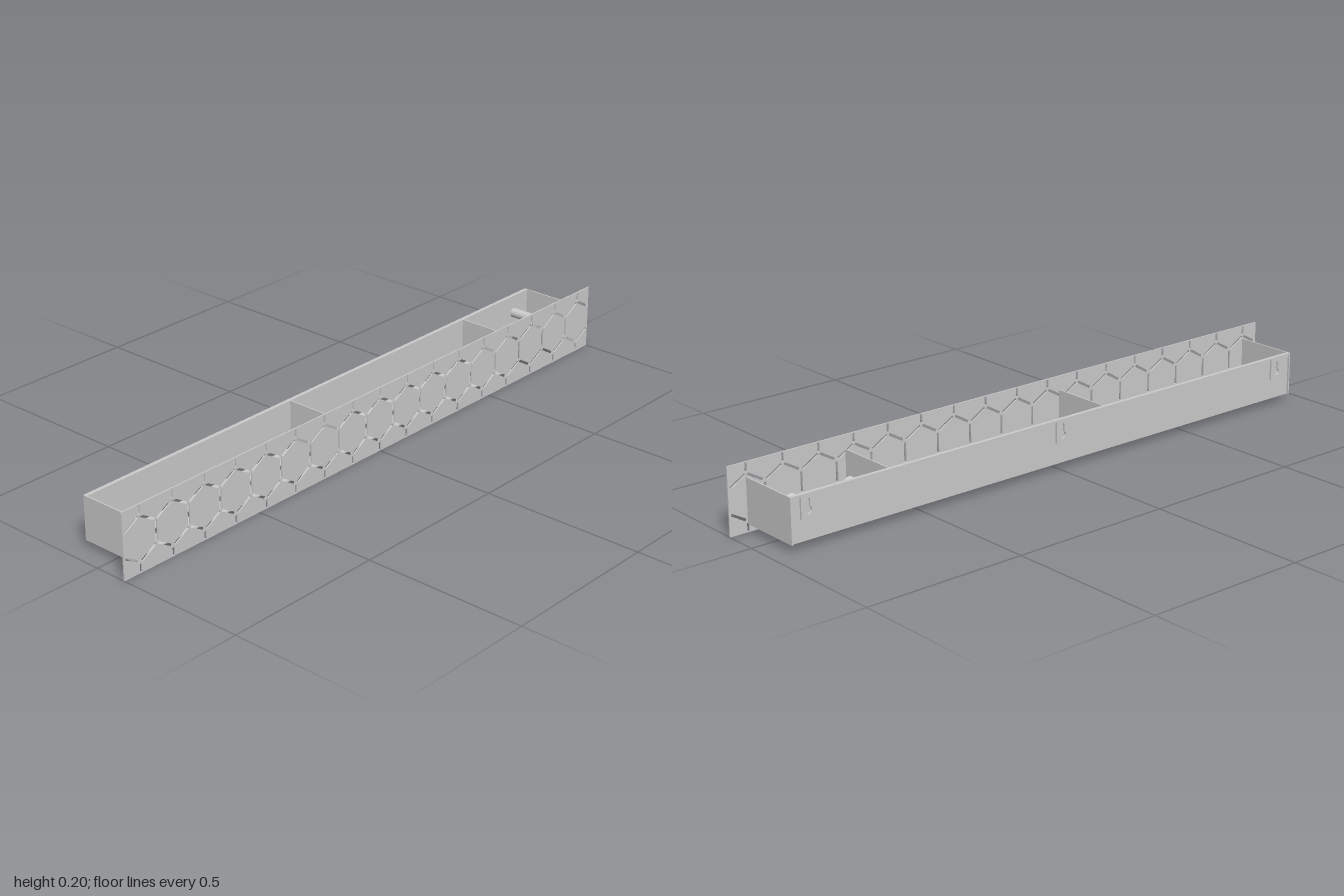
import * as THREE from 'three';

export function createModel() {
  const group = new THREE.Group();
  const mat = new THREE.MeshStandardMaterial({ color: 0xcccccc, flatShading: true });
  const smooth = new THREE.MeshStandardMaterial({ color: 0xcccccc });

  const add = (name, geometry, material = mat) => {
    const mesh = new THREE.Mesh(geometry, material);
    mesh.name = name;
    group.add(mesh);
    return mesh;
  };
  // box given by its limits on each axis
  const box = (name, x0, x1, y0, y1, z0, z1) => {
    const mesh = add(name, new THREE.BoxGeometry(x1 - x0, y1 - y0, z1 - z0));
    mesh.position.set((x0 + x1) / 2, (y0 + y1) / 2, (z0 + z1) / 2);
    return mesh;
  };

  const L = -0.945, R = 0.942, bottom = 0.023, top = 0.157;
  const back = -0.103, inner = -0.091, front = 0.099;

  // front panel, pierced by narrow slots along the edges of a honeycomb
  const panel = new THREE.Shape([[-1, 0], [1, 0], [1, 0.2], [-1, 0.2]].map(p => new THREE.Vector2(...p)));
  const slot = (x0, y0, x1, y1, trim0 = 0.005, trim1 = 0.005) => {
    const a = new THREE.Vector2(x0, y0), b = new THREE.Vector2(x1, y1);
    const d = b.clone().sub(a).normalize();
    const n = new THREE.Vector2(-d.y, d.x).multiplyScalar(0.0038);
    a.addScaledVector(d, trim0);
    b.addScaledVector(d, -trim1);
    panel.holes.push(new THREE.Path([a.clone().add(n), b.clone().add(n), b.clone().sub(n), a.clone().sub(n)]));
  };
  const count = 17, pitch = 2 / count, radius = pitch / Math.sqrt(3), mid = 0.1;
  for (let i = 0; i < count; i++) {
    const x = -1 + (i + 0.5) * pitch;
    if (i > 0) slot(x - pitch / 2, mid - radius / 2, x - pitch / 2, mid + radius / 2);
    for (const s of [-1, 1]) {
      for (const side of [-1, 1]) {
        const atEnd = (i === 0 && side < 0) || (i === count - 1 && side > 0);
        slot(x, mid + s * radius, x + side * pitch / 2, mid + s * radius / 2, 0.005, atEnd ? 0.008 : 0.005);
      }
      slot(x, mid + s * radius, x, mid + s * 0.1, 0.005, 0.002);
    }
  }
  add('frontPanel', new THREE.ExtrudeGeometry(panel, { depth: 0.004, bevelEnabled: false })).position.z = front;

  // tray walls; the back is recessed below a rear lip
  box('backWall', L, R, bottom, top, -0.097, inner);
  box('backLip', L, R, top - 0.006, top, back, -0.097);
  box('rightEnd', L, L + 0.004, bottom, top, back, front);
  box('leftEnd', R - 0.004, R, bottom, top, back, front);
  for (const x of [-0.165, 0.615]) box('divider', x - 0.002, x + 0.002, bottom, top, inner, front);

  // two floor slats, leaving the key compartment open below
  box('rearSlat', L + 0.004, 0.613, bottom, bottom + 0.005, -0.065, -0.011);
  box('frontSlat', L + 0.004, 0.613, bottom, bottom + 0.005, 0.014, 0.07);

  // key pegs with a flared tip, pointing forward
  const pegProfile = [[0, 0], [0.015, 0], [0.015, 0.078], [0.022, 0.087], [0.022, 0.091], [0, 0.091]]
    .map(p => new THREE.Vector2(...p));
  for (const x of [0.68, 0.87]) {
    const peg = add('keyPeg', new THREE.LatheGeometry(pegProfile, 24), mat);
    peg.rotation.x = Math.PI / 2;
    peg.position.set(x, 0.1, inner);
  }

  // keyhole hanger plates on the back
  for (const x of [-0.885, 0, 0.885]) {
    const plate = new THREE.Shape([[-0.024, 0], [0.024, 0], [0.024, 0.064], [-0.024, 0.064]].map(p => new THREE.Vector2(...p)));
    const key = new THREE.Path();
    key.moveTo(-0.005, 0.05);
    key.lineTo(-0.005, 0.03);
    key.absarc(0, 0.021, 0.0103, 2.08, 1.06 + Math.PI * 2, false);
    key.lineTo(0.005, 0.05);
    key.absarc(0, 0.05, 0.005, 0, Math.PI, false);
    plate.holes.push(key);
    const hanger = add('hanger', new THREE.ExtrudeGeometry(plate, { depth: 0.006, bevelEnabled: false, curveSegments: 12 }), smooth);
    hanger.position.set(x, top - 0.07, back);
  }

  return group;
}
